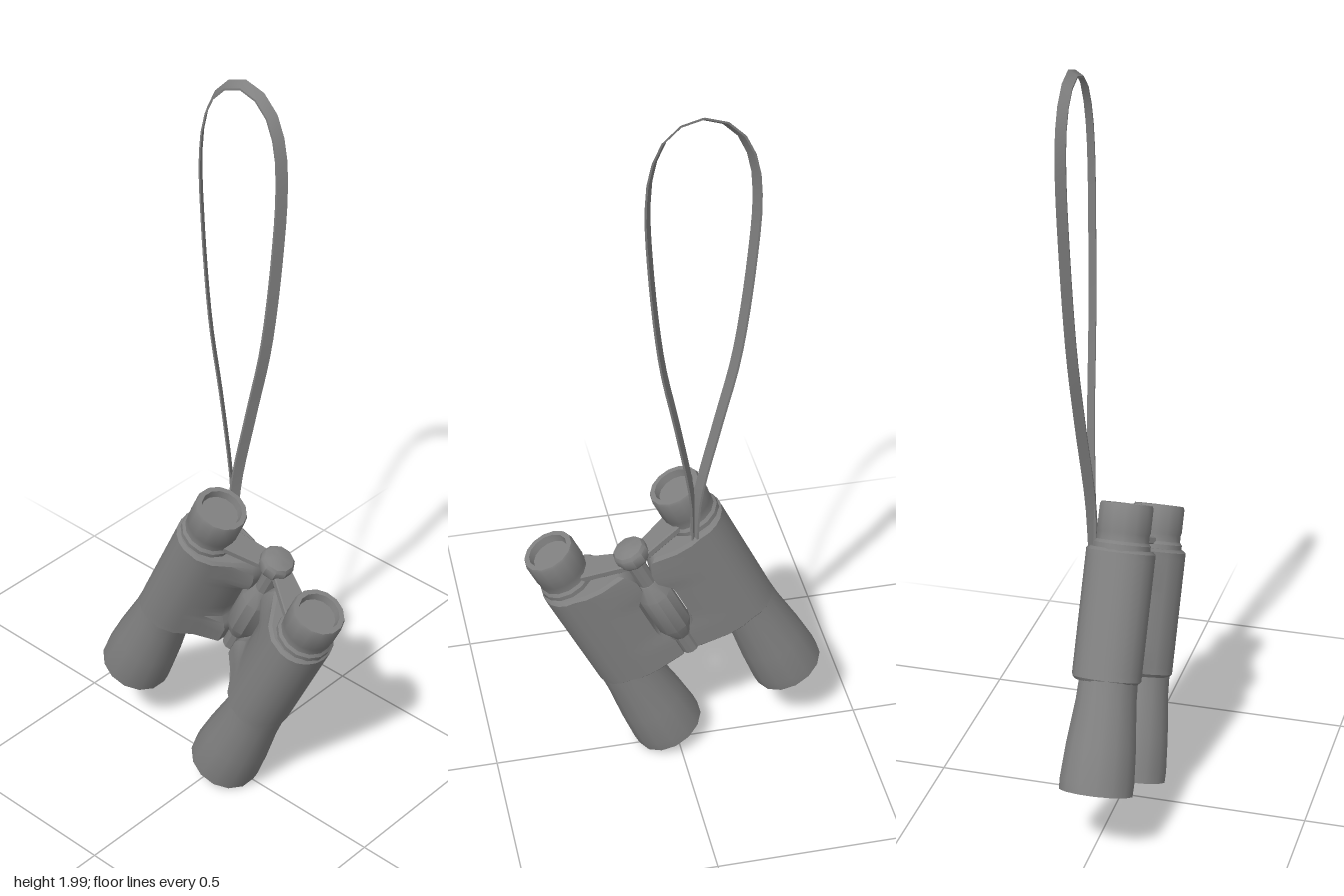
import * as THREE from 'three';
import { toCreasedNormals } from 'three/addons/utils/BufferGeometryUtils.js';

const material = new THREE.MeshStandardMaterial({ color: 0x808080 });
const HALF = 0.183;      // barrel axis to hinge
const HINGE_Z = -0.055;  // hinge sits towards the back

function add(parent, name, geometry, x = 0, y = 0, z = 0) {
  const mesh = new THREE.Mesh(toCreasedNormals(geometry, 0.6), material);
  mesh.name = name;
  mesh.position.set(x, y, z);
  parent.add(mesh);
  return mesh;
}

const lathe = (profile, sides) =>
  new THREE.LatheGeometry(profile.map(([r, y]) => new THREE.Vector2(r, y)), sides);

// Upright prism: outline given as [x, z], rising from y0 to y1
function prism(outline, y0, y1, bevel, steps = 1) {
  const shape = new THREE.Shape(outline.map(([x, z]) => new THREE.Vector2(x, -z)));
  const g = new THREE.ExtrudeGeometry(shape, {
    steps, depth: y1 - y0 - 2 * bevel, bevelSegments: 1,
    bevelSize: bevel, bevelThickness: bevel, bevelOffset: -bevel,
  });
  return g.rotateX(-Math.PI / 2).translate(0, y0 + bevel, 0);
}

// How far the housing reaches towards the hinge: full at both ends, notched between
function reach(y) {
  const { smoothstep } = THREE.MathUtils;
  const notch = smoothstep(y, 0.34, 0.39) * (1 - smoothstep(y, 0.5, 0.545));
  return 0.03 * (1 - notch) * (1 - smoothstep(y, 0.57, 0.64));
}

// Prism housing: rounded outside, sloping in towards the hinge
function housingGeometry(side) {
  const outline = [];
  for (let i = 0; i <= 10; i++) {
    const a = (i / 10) * Math.PI;
    outline.push([0.078 * Math.sin(a), 0.012 + 0.088 * Math.cos(a)]);
  }
  outline.push([-0.03, -0.087], [-0.075, -0.09], [-0.132, -0.077], [-0.132, -0.02],
    [-0.108, 0.025], [-0.075, 0.07], [-0.04, 0.094]);
  const g = prism(outline.map(([x, z]) => [side * x, z]), 0.28, 0.62, 0.008, 18);
  const pos = g.attributes.position;
  for (let i = 0; i < pos.count; i++) {
    const x = pos.getX(i);
    if (side * x < -0.11) pos.setX(i, x - side * reach(pos.getY(i)));
  }
  return g;
}

function createBarrel(side) {
  const barrel = new THREE.Group();
  barrel.name = side > 0 ? 'leftBarrel' : 'rightBarrel';
  barrel.position.x = side * HALF;

  // Objective tube with a recessed lens at the lower end
  add(barrel, 'objectiveTube', lathe([
    [0, 0.03], [0.083, 0.03], [0.087, 0], [0.096, 0], [0.097, 0.03],
    [0.091, 0.12], [0.079, 0.23], [0.076, 0.3],
  ], 14), 0, 0, 0.018);

  add(barrel, 'prismHousing', housingGeometry(side));

  // Eyepiece with base ring, straight cup and recessed lens
  add(barrel, 'eyepiece', lathe([
    [0.074, 0.6], [0.074, 0.632], [0.068, 0.64], [0.068, 0.66], [0.07, 0.665],
    [0.07, 0.728], [0.067, 0.735], [0.054, 0.735], [0.05, 0.715], [0, 0.715],
  ], 14), 0, 0, 0.014);

  // Bridge arm from the eyepiece to the hinge
  const arm = [[-0.04, 0.045], [-0.04, -0.04], [-0.165, -0.085], [-0.185, -0.085], [-0.185, -0.03], [-0.165, -0.025]];
  add(barrel, 'bridgeArm', prism(arm.map(([x, z]) => [side * x, z]), 0.63, 0.65, 0.003));
  return barrel;
}

// Flared ribbon loop: a long thin box bent along a curve, its back edge wider than its front
function strapGeometry() {
  const curve = new THREE.CatmullRomCurve3([
    [-0.03, 0.75, -0.065], [-0.037, 0.88, -0.07], [-0.085, 1.12, -0.083], [-0.128, 1.32, -0.09],
    [-0.16, 1.6, -0.097], [-0.168, 1.78, -0.101], [-0.152, 1.885, -0.104], [-0.106, 1.962, -0.106],
    [-0.035, 1.991, -0.107], [0.035, 1.962, -0.106], [0.077, 1.885, -0.104], [0.091, 1.78, -0.101],
    [0.085, 1.6, -0.097], [0.057, 1.32, -0.09], [0.018, 1.12, -0.083], [-0.024, 0.88, -0.07],
    [-0.03, 0.75, -0.065],
  ].map((p) => new THREE.Vector3(...p)));
  const g = new THREE.BoxGeometry(0.005, 1, 0.023, 1, 48, 1);
  const pos = g.attributes.position;
  for (let i = 0; i < pos.count; i++) {
    const t = pos.getY(i) + 0.5;
    const p = curve.getPointAt(t);
    const d = curve.getTangentAt(t);
    const w = (pos.getX(i) + 0.6 * pos.getZ(i)) / Math.hypot(d.x, d.y);
    pos.setXYZ(i, p.x + d.y * w, p.y - d.x * w, p.z + pos.getZ(i));
  }
  return g;
}

export function createModel() {
  const model = new THREE.Group();
  model.name = 'binocularsWithStrap';

  // Binoculars hang tilted to one side
  const binoculars = new THREE.Group();
  binoculars.name = 'binoculars';
  binoculars.position.set(-0.145, 0.125, 0);
  binoculars.rotation.z = -0.445;
  model.add(binoculars);
  for (const side of [-1, 1]) binoculars.add(createBarrel(side));

  // Central hinge: shaft, bevelled cover and focus knob
  add(binoculars, 'hingeShaft', new THREE.CylinderGeometry(0.024, 0.024, 0.37, 10), 0, 0.465, HINGE_Z);
  add(binoculars, 'hingeCover', lathe([
    [0, 0.34], [0.026, 0.34], [0.046, 0.385], [0.046, 0.505], [0.026, 0.55], [0, 0.55],
  ], 10), 0, 0, HINGE_Z);
  add(binoculars, 'focusKnob', lathe([
    [0, 0.636], [0.042, 0.636], [0.046, 0.642], [0.046, 0.668], [0.04, 0.677], [0.022, 0.683], [0, 0.685],
  ], 10), -0.006, 0, HINGE_Z);

  add(model, 'strap', strapGeometry());
  return model;
}
